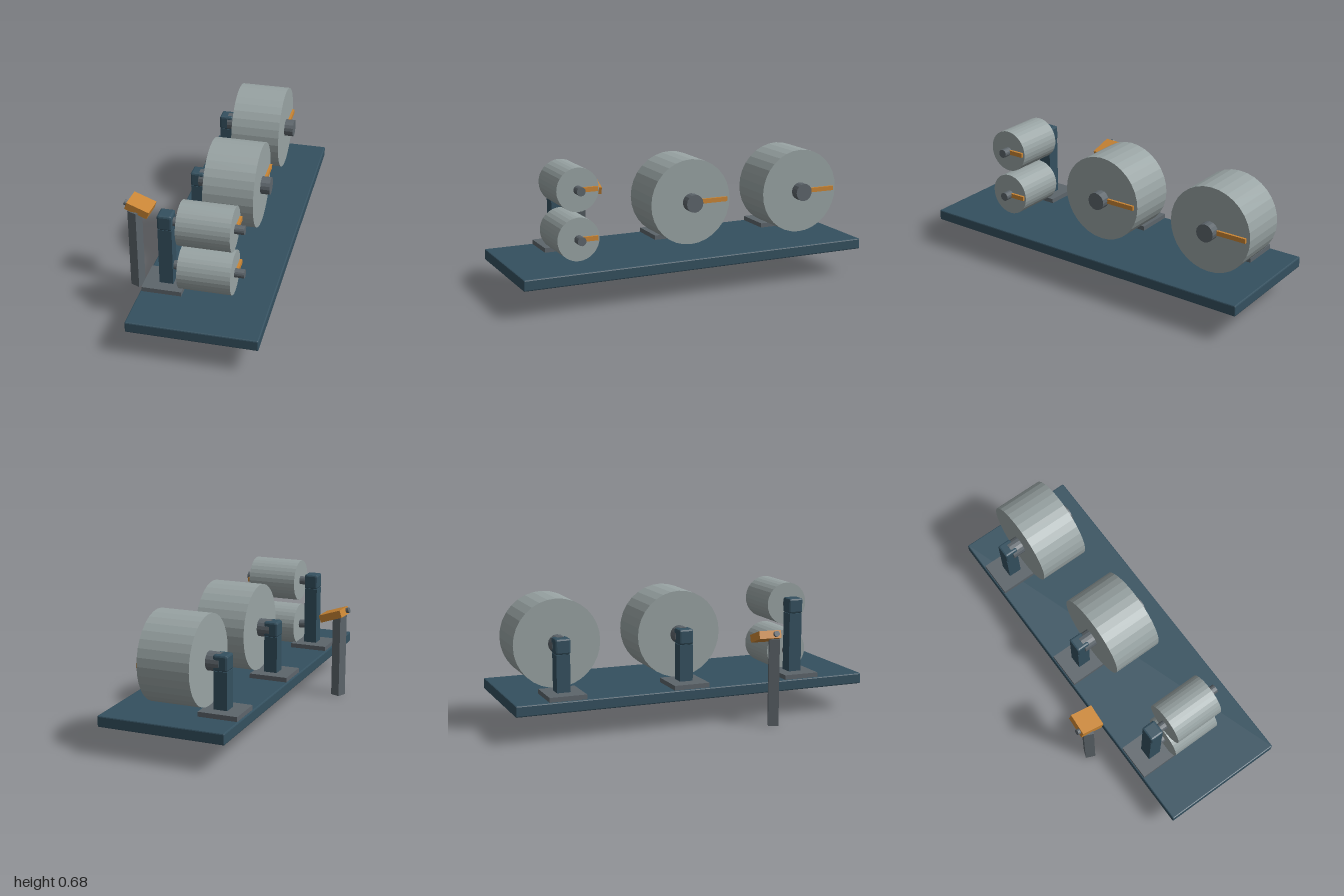
import * as THREE from 'three';
import { RoundedBoxGeometry } from 'three/addons/geometries/RoundedBoxGeometry.js';

const mat = (name, color) => {
  const m = new THREE.MeshStandardMaterial({ color, flatShading: true });
  m.name = name;
  return m;
};

export function createModel() {
  const navy = mat('navy paint', 0x34505f);
  const steel = mat('light steel', 0x98a3a3);
  const gray = mat('gray metal', 0x5d656b);
  const orange = mat('orange marker', 0xc98534);

  const model = new THREE.Group();
  model.name = 'rollerStand';

  const add = (parent, name, geometry, material, x, y, z) => {
    const mesh = new THREE.Mesh(geometry, material);
    mesh.name = name;
    mesh.position.set(x, y, z);
    parent.add(mesh);
    return mesh;
  };
  const box = (parent, name, material, w, h, d, x, y, z) =>
    add(parent, name, new THREE.BoxGeometry(w, h, d), material, x, y, z);
  // Cylinder lying along z between two depths
  const rod = (parent, name, material, r, sides, z0, z1, x, y) =>
    add(parent, name, new THREE.CylinderGeometry(r, r, z1 - z0, sides).rotateX(Math.PI / 2),
      material, x, y, (z0 + z1) / 2);

  // Deck and everything on it is turned about the vertical
  const deck = new THREE.Group();
  deck.name = 'deckAssembly';
  deck.rotation.y = 0.396;
  model.add(deck);
  add(deck, 'deck', new RoundedBoxGeometry(1.896, 0.057, 0.651, 1, 0.006), navy, 0, 0.1685, 0);

  // Drum with its shaft and the pointer on its front face
  function roller(parent, x, y, r, shaftR) {
    const g = new THREE.Group();
    g.name = 'roller';
    g.position.set(x, y, 0);
    parent.add(g);
    rod(g, 'drum', steel, r, 32, -0.133, 0.133, 0, 0);
    rod(g, 'shaft', gray, shaftR, 16, -0.2, 0.182, 0, 0);
    const reach = r * 0.91;
    box(g, 'pointer', orange, reach, 0.024, 0.014, reach / 2, 0, 0.139);
  }

  // Foot plate, post and bearing cap behind the drums
  function stand(x, top) {
    const g = new THREE.Group();
    g.name = 'stand';
    deck.add(g);
    const z = -0.207;
    const neck = top - 0.08;
    box(g, 'footPlate', gray, 0.19, 0.024, 0.202, x, 0.209, -0.217);
    box(g, 'post', navy, 0.07, neck - 0.22, 0.07, x, (neck + 0.22) / 2, z);
    add(g, 'bearingCap', new RoundedBoxGeometry(0.08, 0.08, 0.075, 1, 0.01), navy, x, top - 0.04, z);
  }

  for (const x of [0.027, 0.679]) {
    roller(deck, x, 0.447, 0.225, 0.047);
    stand(x + 0.003, 0.49);
  }
  for (const y of [0.315, 0.567]) roller(deck, -0.595, y, 0.112, 0.023);
  stand(-0.593, 0.61);

  // Free-standing sensor behind the deck
  const sensor = new THREE.Group();
  sensor.name = 'sensor';
  model.add(sensor);
  box(sensor, 'sensorPost', gray, 0.053, 0.45, 0.053, -0.508, 0.225, -0.265);
  const head = new THREE.Group();
  head.name = 'sensorHead';
  head.position.set(-0.465, 0.46, -0.262);
  head.rotation.set(0.33, 0.33, 0, 'YXZ');
  sensor.add(head);
  box(head, 'sensorPlate', orange, 0.117, 0.04, 0.125, 0, 0, 0);
  rod(head, 'sensorPin', gray, 0.015, 12, -0.078, -0.05, -0.03, 0);

  return model;
}
